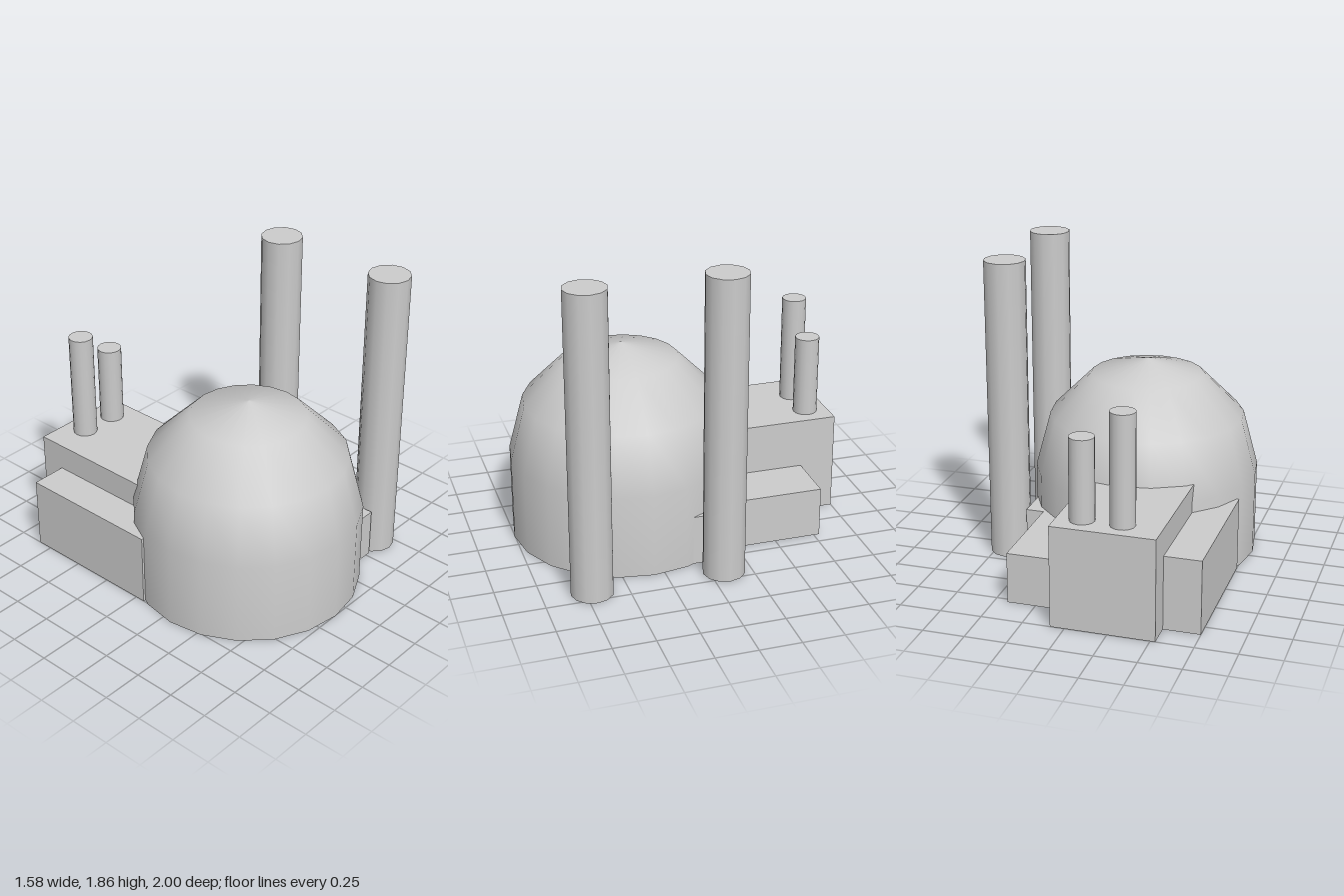
import * as THREE from 'three';

export function createModel() {
  const group = new THREE.Group();
  const grey = new THREE.MeshStandardMaterial({ color: 0xcccccc });
  const greyOpen = new THREE.MeshStandardMaterial({ color: 0xcccccc, side: THREE.DoubleSide });

  const add = (name, geometry, material = grey) => {
    const mesh = new THREE.Mesh(geometry, material);
    mesh.name = name;
    group.add(mesh);
    return mesh;
  };
  // Box standing on the ground, given by its x and z ranges and height
  const block = (name, x0, x1, z0, z1, h) =>
    add(name, new THREE.BoxGeometry(x1 - x0, h, z1 - z0))
      .position.set((x0 + x1) / 2, h / 2, (z0 + z1) / 2);
  // Upright cylinder between two heights
  const pipe = (name, x, z, r, y0, y1, sides) =>
    add(name, new THREE.CylinderGeometry(r, r, y1 - y0, sides))
      .position.set(x, (y0 + y1) / 2, z);

  // Domed hall: straight wall and a faceted hemisphere, open underneath
  const R = 0.688, wall = 0.515;
  const profile = [new THREE.Vector2(R, 0)];
  for (let i = 0; i <= 3; i++) {
    const a = (i * Math.PI) / 6;
    profile.push(new THREE.Vector2(R * Math.cos(a), wall + R * Math.sin(a)));
  }
  profile.push(new THREE.Vector2(0, wall + R));
  add('dome', new THREE.LatheGeometry(profile, 20), greyOpen).position.set(-0.102, 0, 0.315);

  // Annex buildings
  block('mainAnnex', -0.53, 0.085, -1, 0.24, 0.615);
  block('sideAnnex', -0.75, -0.53, -0.845, 0.06, 0.45);
  block('lowAnnex', 0.085, 0.42, -0.785, -0.155, 0.31);
  block('stackBase', 0.25, 0.53, -0.155, 0.775, 0.31);

  // Tall stacks beside the dome
  for (const z of [-0.085, 0.71]) pipe('tallStack', 0.66, z, 0.126, 0, 1.855, 12);

  // Small chimneys on the main annex roof
  pipe('chimney', -0.3, -0.86, 0.074, 0.6, 1.28, 16);
  pipe('chimney', -0.065, -0.86, 0.074, 0.6, 1.11, 16);

  return group;
}
